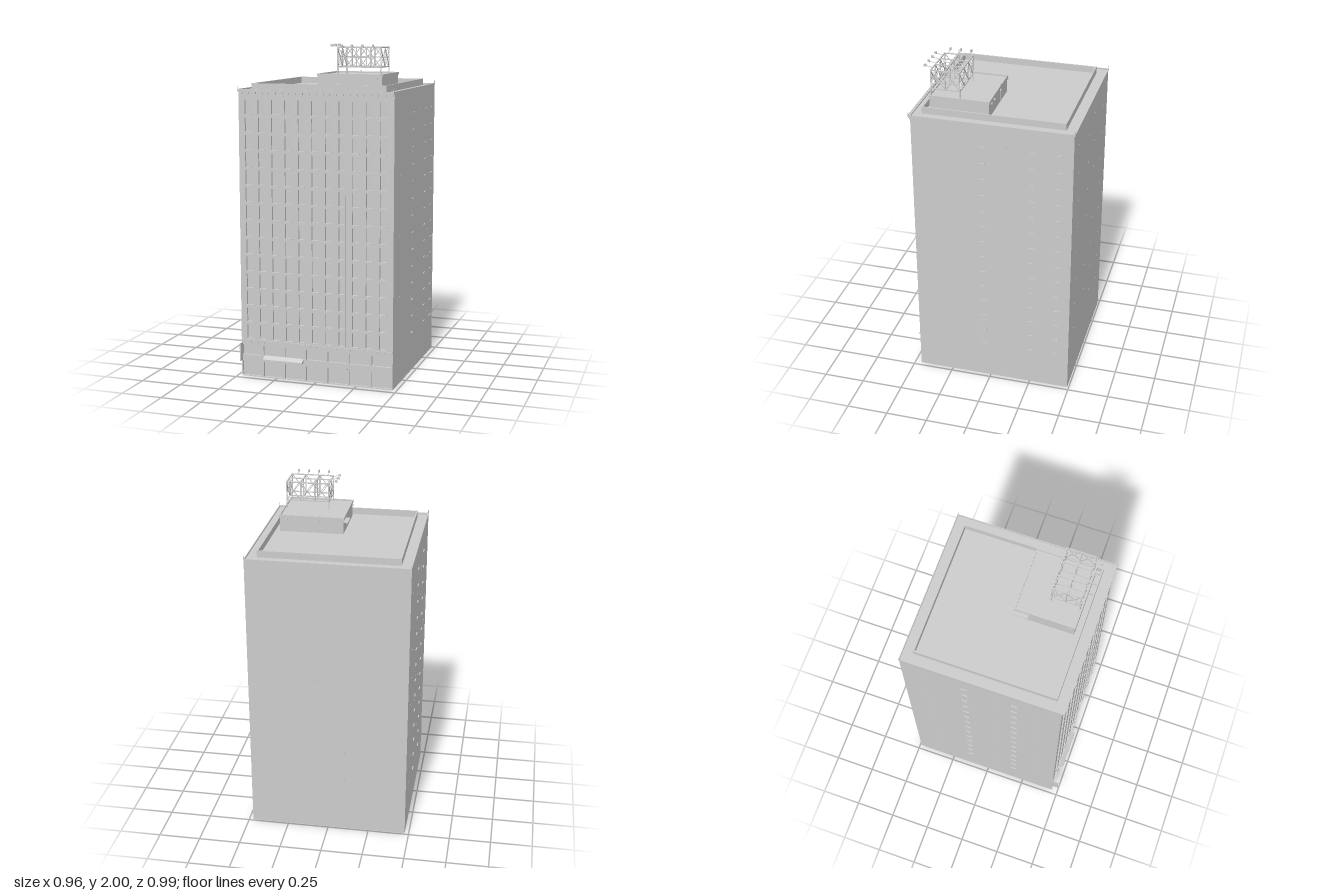
import * as THREE from 'three';

const mat = new THREE.MeshStandardMaterial({ color: 0xcccccc, flatShading: true });

export function createModel() {
  const root = new THREE.Group();
  root.name = 'officeTower';

  const group = (name, parent = root) => {
    const g = new THREE.Group();
    g.name = name;
    parent.add(g);
    return g;
  };
  const add = (name, geo, parent = root) => {
    const m = new THREE.Mesh(geo, mat);
    m.name = name;
    parent.add(m);
    return m;
  };
  // box given by its limits
  const box = (name, x0, x1, y0, y1, z0, z1, parent) => {
    const m = add(name, new THREE.BoxGeometry(x1 - x0, y1 - y0, z1 - z0), parent);
    m.position.set((x0 + x1) / 2, (y0 + y1) / 2, (z0 + z1) / 2);
    return m;
  };
  // square bar between two points
  const bar = (name, a, b, t, parent) => {
    const p = new THREE.Vector3(...a), q = new THREE.Vector3(...b);
    const m = add(name, new THREE.BoxGeometry(t, t, p.distanceTo(q)), parent);
    m.position.copy(p).lerp(q, 0.5);
    m.lookAt(q);
    return m;
  };
  const rectPath = (C, x0, x1, y0, y1) => new C([
    [x0, y0], [x1, y0], [x1, y1], [x0, y1],
  ].map(([x, y]) => new THREE.Vector2(x, y)));
  // hollow rectangular wall, standing on y0
  const ring = (name, x0, x1, y0, y1, z0, z1, t, parent) => {
    const s = rectPath(THREE.Shape, x0, x1, -z1, -z0);
    s.holes.push(rectPath(THREE.Path, x0 + t, x1 - t, -z1 + t, -z0 - t));
    const geo = new THREE.ExtrudeGeometry(s, { depth: y1 - y0, bevelEnabled: false });
    geo.rotateX(-Math.PI / 2);
    const m = add(name, geo, parent);
    m.position.y = y0;
    return m;
  };

  // main block
  const W = 0.475, FRONT = 0.46, BACK = -0.49;
  box('body', -W, W, 0, 1.73, BACK, FRONT - 0.015);

  // front wall with recessed windows and ground floor bays
  const wall = rectPath(THREE.Shape, -W, W, 0, 1.73);
  const hole = (x, y, w, h) =>
    wall.holes.push(rectPath(THREE.Path, x - w / 2, x + w / 2, y - h / 2, y + h / 2));
  const sills = group('windowSills');
  for (let c = 0; c < 11; c++) {
    const x = -0.417 + c * 0.0829;
    for (let r = 0; r < 14; r++) {
      const y = 0.28 + r * 0.1042;
      hole(x, y, 0.04, 0.085);
      box('sill', x - 0.022, x + 0.022, y - 0.046, y - 0.0425, FRONT - 0.012, FRONT + 0.003, sills);
    }
  }
  const bay = 2 * W / 7;
  for (let i = 0; i < 7; i++) {
    const x = -W + (i + 0.5) * bay;
    hole(x, 0.05, 0.122, 0.09);
    hole(x, 0.165, 0.122, 0.062);
  }
  add('frontWall', new THREE.ExtrudeGeometry(wall, { depth: 0.015, bevelEnabled: false }))
    .position.z = FRONT - 0.015;

  // string course above the ground floor and top cornice, both with dentils
  const trim = group('cornices');
  box('stringCourse', -W, W, 0.222, 0.23, FRONT, FRONT + 0.007, trim);
  box('corniceLower', -W, W, 1.722, 1.73, FRONT, FRONT + 0.012, trim);
  box('corniceUpper', -W, W, 1.73, 1.738, FRONT, FRONT + 0.017, trim);
  for (let i = 0; i < 23; i++) {
    const x = -0.458 + i * 0.0416;
    box('dentil', x - 0.01, x + 0.01, 1.71, 1.722, FRONT, FRONT + 0.009, trim);
    box('dentil', x - 0.008, x + 0.008, 0.213, 0.222, FRONT, FRONT + 0.005, trim);
  }
  bar('drainPipe', [0.183, 0.23, FRONT + 0.002], [0.183, 1.7, FRONT + 0.002], 0.004);

  // entrance canopy, blade sign and wall bracket
  const entry = group('entrance');
  const canopy = new THREE.Shape([
    [0, 0.112], [0.028, 0.112], [0.028, 0.12], [0, 0.138],
  ].map(([x, y]) => new THREE.Vector2(x, y)));
  const canopyGeo = new THREE.ExtrudeGeometry(canopy, { depth: 0.25, bevelEnabled: false });
  canopyGeo.rotateY(-Math.PI / 2);
  add('canopy', canopyGeo, entry).position.set(-0.078, 0, FRONT);
  box('bladeSign', -0.473, -0.466, 0.1, 0.21, FRONT + 0.003, FRONT + 0.038, entry);
  for (const y of [0.12, 0.19]) box('signBracket', -0.471, -0.468, y, y + 0.004, FRONT, FRONT + 0.004, entry);
  bar('flagArm', [0.2, 0.1, FRONT], [0.2, 0.112, 0.49], 0.004, entry);
  box('wallLamp', 0.197, 0.203, 0.095, 0.125, FRONT, FRONT + 0.006, entry);

  // roof edge, corner spikes and inner parapet
  const roof = group('roof');
  ring('roofEdge', -W, W, 1.73, 1.739, BACK - 0.004, FRONT + 0.015, 0.005, roof);
  for (const x of [-W + 0.002, W - 0.002])
    for (const z of [BACK, FRONT + 0.013]) bar('cornerSpike', [x, 1.73, z], [x, 1.757, z], 0.004, roof);
  ring('parapet', -0.412, 0.412, 1.73, 1.77, -0.43, 0.412, 0.008, roof);

  // rooftop plant room
  const plant = group('plantRoom');
  box('plantWalls', -0.01, 0.375, 1.73, 1.822, 0.025, 0.375, plant);
  ring('plantCoping', -0.014, 0.379, 1.815, 1.831, 0.021, 0.379, 0.007, plant);
  box('sideCanopy', -0.037, -0.01, 1.8, 1.806, 0.025, 0.11, plant);
  for (const x of [0.14, 0.275, 0.333]) box('backLamp', x - 0.005, x + 0.005, 1.8, 1.808, 0.015, 0.025, plant);
  bar('downPipe', [0.14, 1.735, 0.022], [0.14, 1.84, 0.022], 0.005, plant);
  box('frontLamp', 0.345, 0.353, 1.803, 1.811, 0.375, 0.385, plant);
  box('sideLamp', -0.018, -0.01, 1.803, 1.811, 0.345, 0.353, plant);

  // lattice frame on the plant room
  const frame = group('latticeFrame');
  const xs = [0.108, 0.194, 0.28, 0.366], zs = [0.198, 0.282, 0.366];
  const lo = 1.87, mid = 1.925, hi = 1.981, T = 0.006;
  for (const y of [lo, hi]) {
    for (const x of xs) bar('crossBeam', [x, y, zs[0]], [x, y, zs[2]], T, frame);
    for (const z of zs) bar('longBeam', [xs[0], y, z], [xs[3], y, z], T, frame);
  }
  xs.forEach((x, i) => zs.forEach((z, j) => {
    const corner = i % 3 === 0 && j % 2 === 0;
    bar('post', [x, corner ? 1.82 : lo, z], [x, hi, z], T, frame);
  }));
  const brace = (x0, z0, x1, z1) => {
    bar('brace', [x0, lo, z0], [x1, hi, z1], 0.004, frame);
    bar('brace', [x0, hi, z0], [x1, lo, z1], 0.004, frame);
    bar('midRail', [x0, mid, z0], [x1, mid, z1], 0.004, frame);
    box('node', (x0 + x1) / 2 - 0.005, (x0 + x1) / 2 + 0.005, mid - 0.006, mid + 0.006,
      (z0 + z1) / 2 - 0.005, (z0 + z1) / 2 + 0.005, frame);
  };
  for (const z of [zs[0], zs[2]]) for (let i = 0; i < 3; i++) brace(xs[i], z, xs[i + 1], z);
  for (const x of [xs[0], xs[3]]) for (let j = 0; j < 2; j++) brace(x, zs[j], x, zs[j + 1]);

  // floodlights reaching out from the frame
  const lights = group('floodlights');
  for (const x of [0.144, 0.206, 0.268, 0.331]) {
    bar('lampArm', [x, hi, 0.36], [x, 1.992, 0.41], 0.003, lights);
    box('lampHead', x - 0.005, x + 0.005, 1.986, 2.0, 0.402, 0.416, lights);
  }
  for (const z of [0.219, 0.282, 0.345]) {
    bar('lampArm', [0.115, hi, z], [0.066, 1.992, z], 0.003, lights);
    box('lampHead', 0.058, 0.073, 1.986, 2.0, z - 0.005, z + 0.005, lights);
  }

  // small ledges on the side walls and fixings on all plain walls
  const ledges = group('sideLedges');
  const columns = [[1, -0.41], [1, -0.255], [1, 0.04], [-1, -0.115], [-1, 0.185]];
  for (const [s, z] of columns) {
    for (let r = 0; r < 14; r++) {
      const y = 0.24 + r * 0.1042, x = s * (W + 0.002);
      box('ledge', x - 0.004, x + 0.004, y, y + 0.004, z - 0.017, z + 0.017, ledges);
    }
  }
  const fixings = group('wallFixings');
  for (let r = 0; r < 8; r++) {
    const y = 0.28 + r * 0.18;
    [-0.35, -0.1, 0.06, 0.33].forEach((p, i) => {
      const h = y + (i % 2) * 0.07;
      box('fixing', p - 0.003, p + 0.003, h, h + 0.005, BACK - 0.003, BACK, fixings);
      for (const s of [-1, 1])
        box('fixing', s * W - 0.002, s * W + 0.002, h, h + 0.005, p - 0.003, p + 0.003, fixings);
    });
  }

  return root;
}
